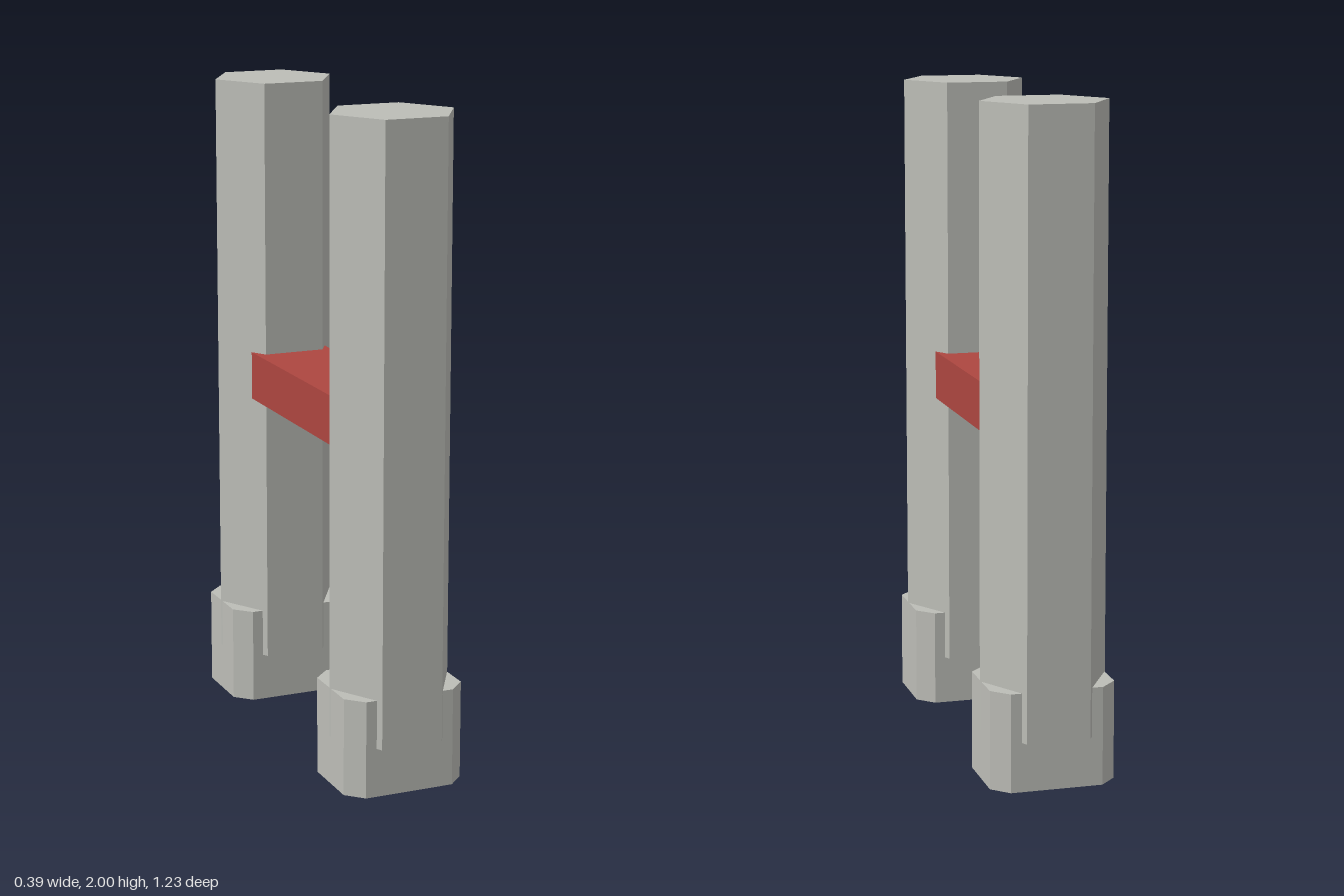
import * as THREE from 'three';

const stone = new THREE.MeshStandardMaterial({ color: 0xbcbdb7 });
stone.name = 'light grey';
const red = new THREE.MeshStandardMaterial({ color: 0xad4640 });
red.name = 'brick red';

// Rectangle with its four corners cut off, extruded upwards from y = 0
function chamferedBlock(halfW, halfD, cut, height) {
  const s = new THREE.Shape([
    [halfW - cut, -halfD], [halfW, -halfD + cut], [halfW, halfD - cut], [halfW - cut, halfD],
    [-halfW + cut, halfD], [-halfW, halfD - cut], [-halfW, -halfD + cut], [-halfW + cut, -halfD],
  ].map(([x, y]) => new THREE.Vector2(x, y)));
  return new THREE.ExtrudeGeometry(s, { depth: height, bevelEnabled: false }).rotateX(-Math.PI / 2);
}

// Hexagonal prism with corners on the x axis and flat-shaded sides
function hexPrism(radius, height) {
  return new THREE.CylinderGeometry(radius, radius, height, 6, 1, false, Math.PI / 2).toNonIndexed();
}

export function createModel() {
  const model = new THREE.Group();
  model.name = 'twinPostFrame';

  const add = (name, geometry, material, y, z) => {
    geometry.computeVertexNormals();
    const mesh = new THREE.Mesh(geometry, material);
    mesh.name = name;
    mesh.position.set(0, y, z);
    model.add(mesh);
  };

  // Two posts, each standing in a chamfered foot
  for (const [side, dir] of [['front', 1], ['back', -1]]) {
    add(side + 'Post', hexPrism(0.193, 1.85), stone, 1.075, dir * 0.45);
    add(side + 'Foot', chamferedBlock(0.19, 0.15, 0.05, 0.3), stone, 0, dir * 0.45);
  }

  // Crossbar joining the posts
  add('crossbar', new THREE.BoxGeometry(0.25, 0.15, 0.9), red, 1.075, 0);

  return model;
}
